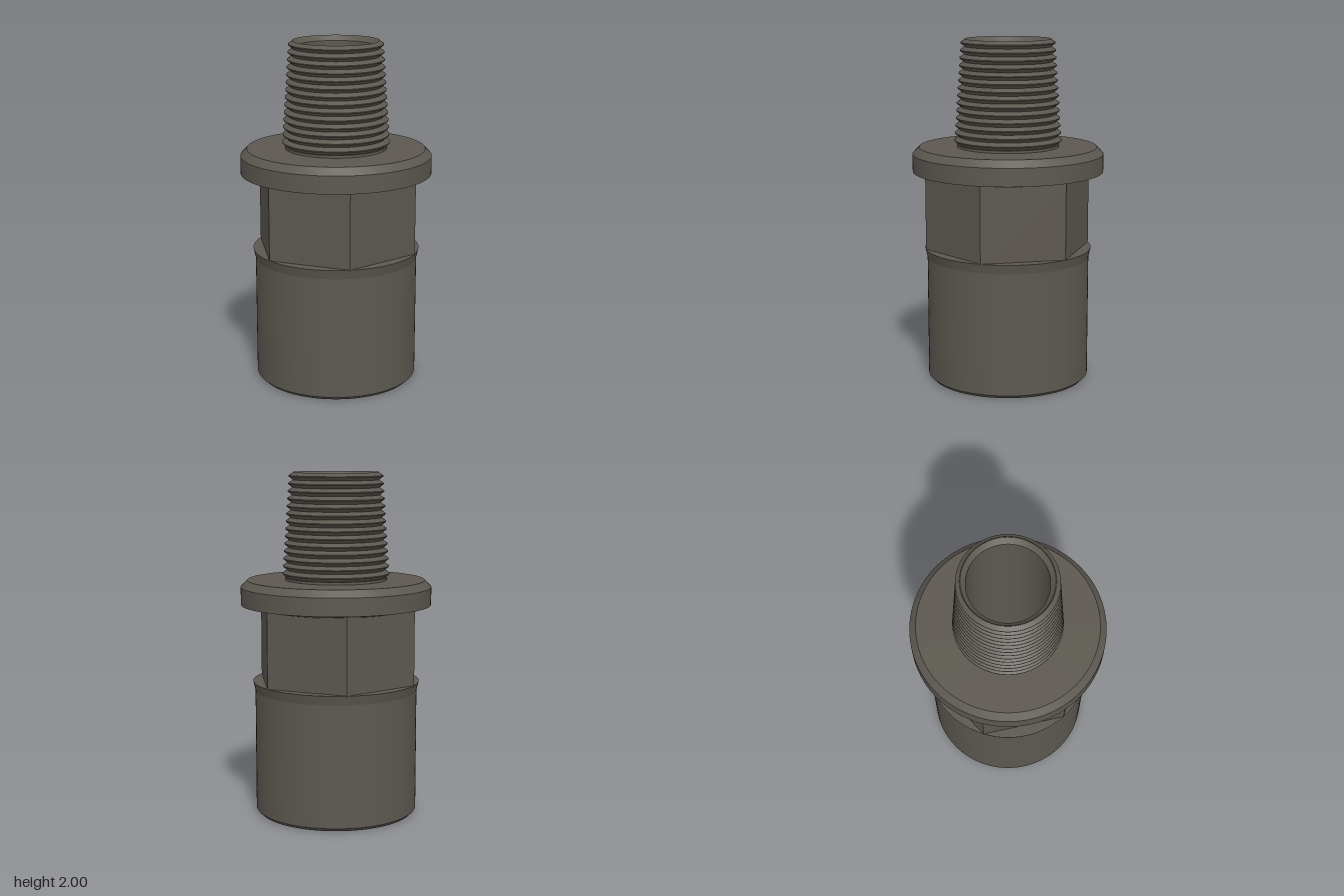
import * as THREE from 'three';
import { toCreasedNormals } from 'three/addons/utils/BufferGeometryUtils.js';

const SEGMENTS = 96;
const PITCH = 0.0432;

export function createModel() {
  const group = new THREE.Group();
  group.name = 'threadedAdapter';
  const metal = new THREE.MeshStandardMaterial({ color: 0x5c5850 });
  metal.name = 'dark grey metal';

  const add = (name, geometry) => {
    const mesh = new THREE.Mesh(geometry, metal);
    mesh.name = name;
    group.add(mesh);
    return mesh;
  };
  // Revolved profile of [radius, height] pairs, kept sharp at its corners
  const turn = (name, profile) => add(name, toCreasedNormals(
    new THREE.LatheGeometry(profile.map(([r, y]) => new THREE.Vector2(r, y)), SEGMENTS), 0.22));

  // Tapered row of V-shaped ridges, from (r0, y0) by count pitches
  const ridges = (r0, y0, count, taper, depth) => {
    const points = [];
    for (let i = 0; i < count; i++) {
      const y = y0 + i * PITCH;
      const r = r0 - taper * i * PITCH;
      points.push([r - depth, y], [r, y + PITCH * 0.44], [r, y + PITCH * 0.56]);
    }
    const end = count * PITCH;
    points.push([r0 - taper * end - depth, y0 + end]);
    return points;
  };

  // Barrel: bottom face, chamfer, wall, flared lip and ledge
  turn('barrel', [
    [0.33, 0], [0.455, 0], [0.475, 0.02], [0.475, 0.73], [0.488, 0.785], [0.4, 0.785],
  ]);

  // Hexagonal wrench section with corners on the x axis
  const hex = toCreasedNormals(
    new THREE.CylinderGeometry(0.488, 0.488, 0.46, 6, 1, true, Math.PI / 6), 0.3);
  add('hexSection', hex).position.y = 1.005;

  // Flange with a shallow conical underside and chamfered top
  turn('flange', [
    [0.4, 1.207], [0.555, 1.237], [0.555, 1.34], [0.517, 1.38], [0.285, 1.38],
  ]);

  // Outer tapered thread with neck and rim
  turn('outerThread', [
    [0.296, 1.38], [0.296, 1.395],
    ...ridges(0.311, 1.395, 14, 0.068, 0.024),
    [0.25, 2], [0.22, 1.97],
  ]);

  // Smooth through bore, facing inward
  turn('bore', [[0.22, 1.97], [0.22, 0.76]]);

  // Socket: inner thread between a shoulder and a plain mouth
  turn('innerThread', [
    [0.22, 0.76], [0.27, 0.76],
    ...ridges(0.325, 0.1, 14, 0.06, 0.024).reverse(),
    [0.318, 0.1], [0.318, 0.012], [0.33, 0],
  ]);

  return group;
}
